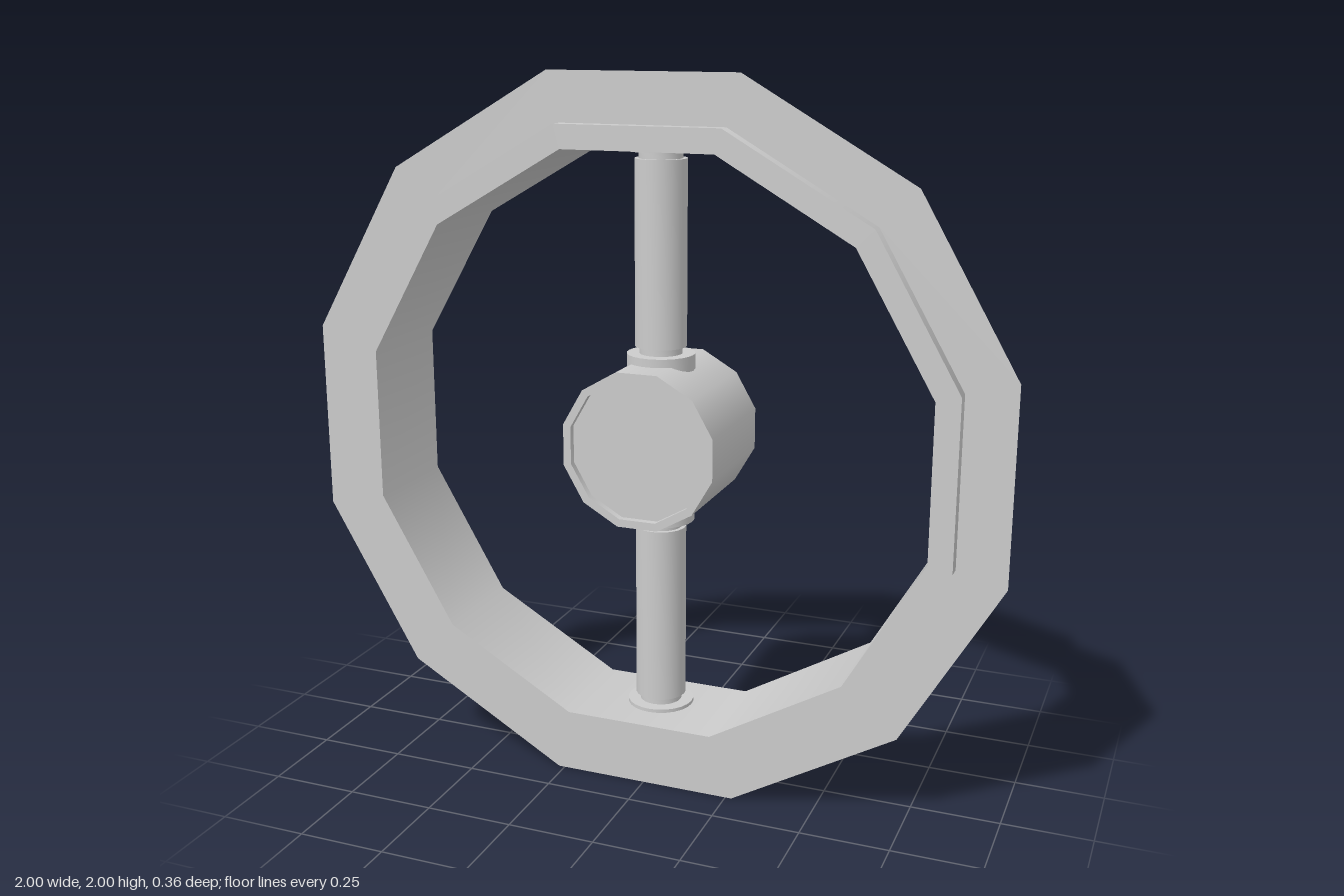
import * as THREE from 'three';
import { toCreasedNormals } from 'three/addons/utils/BufferGeometryUtils.js';

const SIDES = 12;
const TURN = Math.PI / SIDES; // puts a flat side at the top
const radius = (apothem) => apothem / Math.cos(TURN);

export function createModel() {
  const model = new THREE.Group();
  const material = new THREE.MeshStandardMaterial({ color: 0xcccccc, side: THREE.DoubleSide });

  const add = (parent, name, geometry) => {
    const mesh = new THREE.Mesh(geometry, material);
    mesh.name = name;
    parent.add(mesh);
    return mesh;
  };

  // Open twelve-sided wall along z
  const wall = (apothem, z0, z1) => {
    const r = radius(apothem);
    return new THREE.CylinderGeometry(r, r, z1 - z0, SIDES, 1, true, TURN)
      .rotateX(Math.PI / 2)
      .translate(0, 0, (z0 + z1) / 2);
  };

  // Flat twelve-sided band facing the front
  const band = (inner, outer, z) =>
    new THREE.RingGeometry(radius(inner), radius(outer), SIDES, 1, TURN).translate(0, 0, z);

  // Rim: drum with a raised front lip and a thin flange
  const rim = new THREE.Group();
  rim.name = 'rim';
  rim.position.y = 1;
  add(rim, 'drum', wall(0.8, -0.14, 0.18));
  add(rim, 'lipFace', band(0.8, 0.865, 0.18));
  add(rim, 'lipWall', wall(0.865, 0.14, 0.18));
  add(rim, 'flange', band(0.865, 1, 0.14));
  model.add(rim);

  // Hub: open at the back, recessed cap at the front
  const hub = new THREE.Group();
  hub.name = 'hub';
  hub.position.y = 1;
  add(hub, 'hubWall', wall(0.217, -0.18, 0.18));
  add(hub, 'hubRim', band(0.195, 0.217, 0.18));
  add(hub, 'hubRecess', wall(0.195, 0.16, 0.18));
  add(hub, 'hubCap', new THREE.CircleGeometry(radius(0.195), SIDES, TURN).translate(0, 0, 0.16));
  model.add(hub);

  // Spokes: tube with narrow necks and a collar at each end
  const profile = [
    [0.095, 0.16], [0.095, 0.24], [0.06, 0.24], [0.06, 0.26], [0.072, 0.26],
    [0.072, 0.77], [0.06, 0.77], [0.06, 0.79], [0.095, 0.79], [0.095, 0.81], [0.085, 0.81],
  ].map(([r, y]) => new THREE.Vector2(r, y));
  const spokeGeometry = toCreasedNormals(new THREE.LatheGeometry(profile, 24), 0.7);
  for (const [name, angle] of [['upperSpoke', 0], ['lowerSpoke', Math.PI]]) {
    const spoke = add(model, name, spokeGeometry);
    spoke.position.y = 1;
    spoke.rotation.z = angle;
  }

  return model;
}
